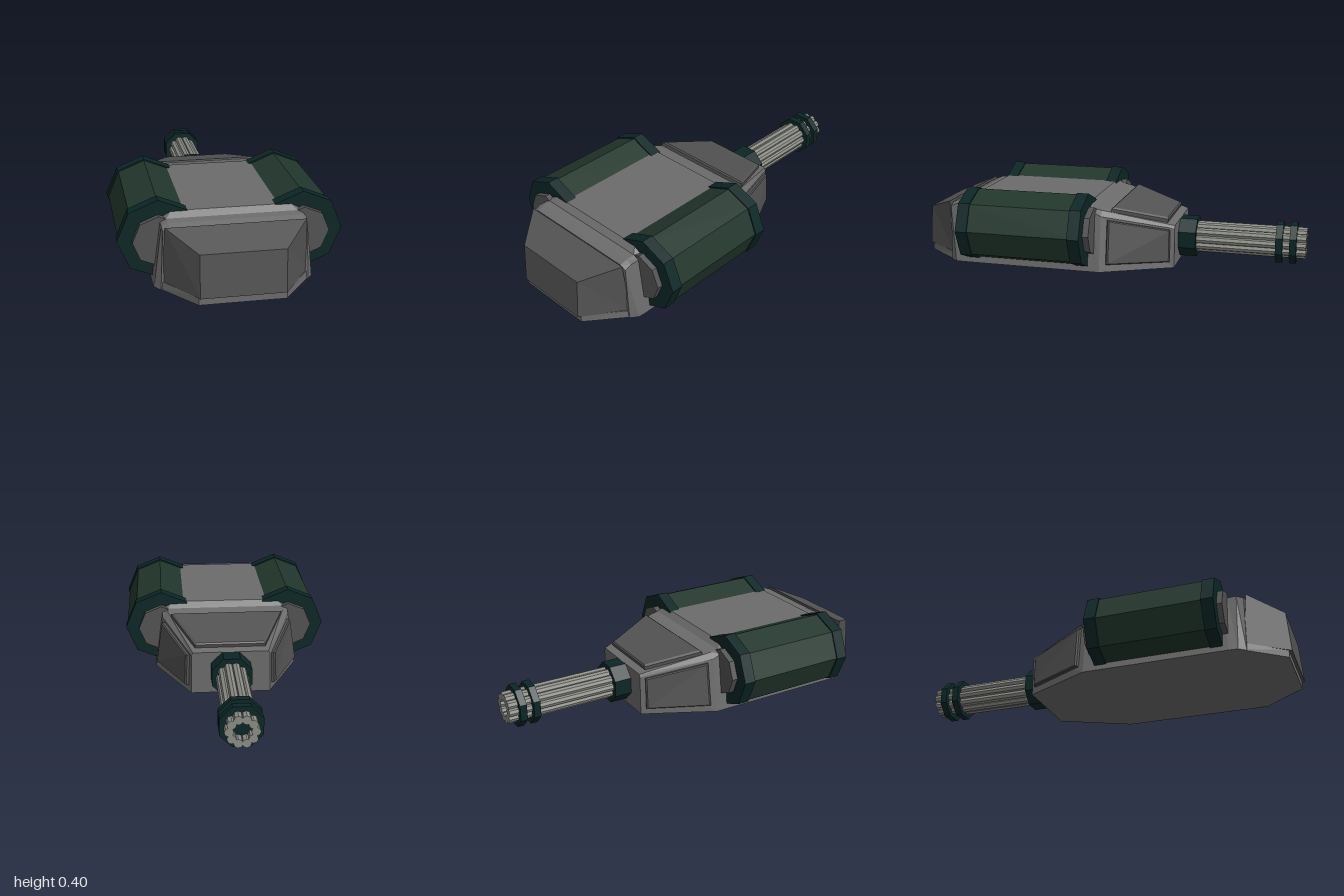
import * as THREE from 'three';

const mat = (name, color) => {
  const m = new THREE.MeshStandardMaterial({ color });
  m.name = name;
  m.flatShading = true;
  return m;
};

// Skin a list of closed loops (counter-clockwise seen from the last loop) and cap both ends.
function loft(rings) {
  const pos = [];
  const tri = (a, b, c) => pos.push(...a, ...b, ...c);
  const n = rings[0].length;
  for (let i = 0; i < rings.length - 1; i++) {
    for (let j = 0; j < n; j++) {
      const k = (j + 1) % n, r = rings[i], s = rings[i + 1];
      tri(r[j], r[k], s[k]);
      tri(r[j], s[k], s[j]);
    }
  }
  const first = rings[0], last = rings[rings.length - 1];
  for (let j = 1; j < n - 1; j++) {
    tri(first[0], first[j + 1], first[j]);
    tri(last[0], last[j], last[j + 1]);
  }
  const g = new THREE.BufferGeometry();
  g.setAttribute('position', new THREE.Float32BufferAttribute(pos, 3));
  g.computeVertexNormals();
  return g;
}

// Raised armour plate with bevelled rim on four corners.
function plate(corners, height, inset) {
  const p = corners.map(c => new THREE.Vector3(...c));
  const normal = p[2].clone().sub(p[0]).cross(p[3].clone().sub(p[1])).normalize();
  const mid = p.reduce((a, v) => a.add(v), new THREE.Vector3()).multiplyScalar(0.25);
  const ring = (h, t) => p.map(v => v.clone().lerp(mid, t).addScaledVector(normal, h).toArray());
  return loft([ring(-0.015, 0), ring(height * 0.7, 0), ring(height, inset)]);
}

// Prism along z from z0 to z1.
function prism(radius, z0, z1, sides, turn = 0) {
  const g = new THREE.CylinderGeometry(radius, radius, Math.abs(z1 - z0), sides);
  g.rotateY(turn);
  g.rotateX(Math.PI / 2);
  g.translate(0, 0, (z0 + z1) / 2);
  return g;
}

export function createModel() {
  const root = new THREE.Group();
  root.name = 'turret';
  const hull = mat('hull grey', 0x6c6c6c);
  const panel = mat('panel grey', 0x535353);
  const green = mat('drum green', 0x22362c);
  const teal = mat('dark teal', 0x0c2626);
  const steel = mat('barrel steel', 0x8b8d86);

  const add = (parent, name, geometry, material, x = 0, y = 0, z = 0) => {
    const m = new THREE.Mesh(geometry, material);
    m.name = name;
    m.position.set(x, y, z);
    parent.add(m);
    return m;
  };

  // Hull sections: z, bottom half width, shoulder half width and height, top half width and height
  const sections = [
    [-0.35, 0.20, 0.197, 0.205, 0.19, 0.22],
    [0.00, 0.375, 0.335, 0.28, 0.305, 0.305],
    [0.04, 0.375, 0.335, 0.30, 0.305, 0.312],
    [0.07, 0.375, 0.335, 0.31, 0.28, 0.34],
    [0.70, 0.375, 0.335, 0.31, 0.28, 0.34],
    [0.73, 0.375, 0.335, 0.30, 0.305, 0.315],
    [0.775, 0.372, 0.335, 0.30, 0.305, 0.312],
    [0.81, 0.345, 0.332, 0.285, 0.30, 0.30],
  ];
  add(root, 'hull', loft(sections.map(([z, b, s, sy, t, ty]) => [
    [-b, 0, z], [b, 0, z], [s, sy, z], [t, ty, z], [-t, ty, z], [-s, sy, z],
  ])), hull);

  // Tapered floor under the front armour
  const floor = (y, k) => [
    [-0.372 + k, y, 0.77], [-0.20, y, 0.985], [0.20, y, 0.985], [0.372 - k, y, 0.77],
  ];
  add(root, 'noseFloor', loft([floor(0, 0), floor(0.04, 0.005)]), hull);

  // Front armour block
  add(root, 'frontArmour', loft([
    [[-0.338, 0.037, 0.80], [0.338, 0.037, 0.80], [0.325, 0.308, 0.82], [-0.325, 0.308, 0.82]],
    [[-0.195, 0.037, 1.0], [0.195, 0.037, 1.0], [0.195, 0.242, 0.985], [-0.195, 0.242, 0.985]],
  ]), panel);

  // Rear armour plates
  add(root, 'rearTopPlate', plate([
    [-0.29, 0.296, -0.04], [0.29, 0.296, -0.04], [0.178, 0.231, -0.31], [-0.178, 0.231, -0.31],
  ], 0.024, 0.05), panel);
  const side = [
    [0.357, 0.04, -0.03], [0.212, 0.035, -0.325], [0.205, 0.20, -0.325], [0.325, 0.262, -0.03],
  ];
  add(root, 'leftRearPlate', plate(side, 0.02, 0.05), panel);
  add(root, 'rightRearPlate', plate(side.map(([x, y, z]) => [-x, y, z]).reverse(), 0.02, 0.05), panel);

  // Side drums with end rims and caps
  for (const s of [1, -1]) {
    const drum = new THREE.Group();
    drum.name = s > 0 ? 'leftDrum' : 'rightDrum';
    drum.position.set(s * 0.34, 0.205, 0);
    root.add(drum);
    add(drum, 'drumBody', prism(0.184, 0.08, 0.68, 8), green);
    add(drum, 'drumCore', prism(0.122, 0.03, 0.73, 8), panel);
    add(drum, 'rearRim', prism(0.191, 0.06, 0.12, 8), teal);
    add(drum, 'frontRim', prism(0.191, 0.643, 0.703, 8), teal);
  }

  // Rotary barrel pointing backwards
  const gun = new THREE.Group();
  gun.name = 'barrel';
  gun.position.set(0, 0.12, 0);
  root.add(gun);
  add(gun, 'collar', prism(0.108, -0.33, -0.44, 8, Math.PI / 8), teal);
  for (const z of [-0.847, -0.917]) {
    add(gun, 'barrelRing', prism(0.108, z, z - 0.035, 8, Math.PI / 8), teal);
  }
  const tube = prism(0.022, -0.43, -1.0, 8);
  for (let i = 0; i < 10; i++) {
    const a = (i / 10) * Math.PI * 2;
    add(gun, 'barrelTube', tube, steel, Math.cos(a) * 0.06, Math.sin(a) * 0.06);
  }
  return root;
}
